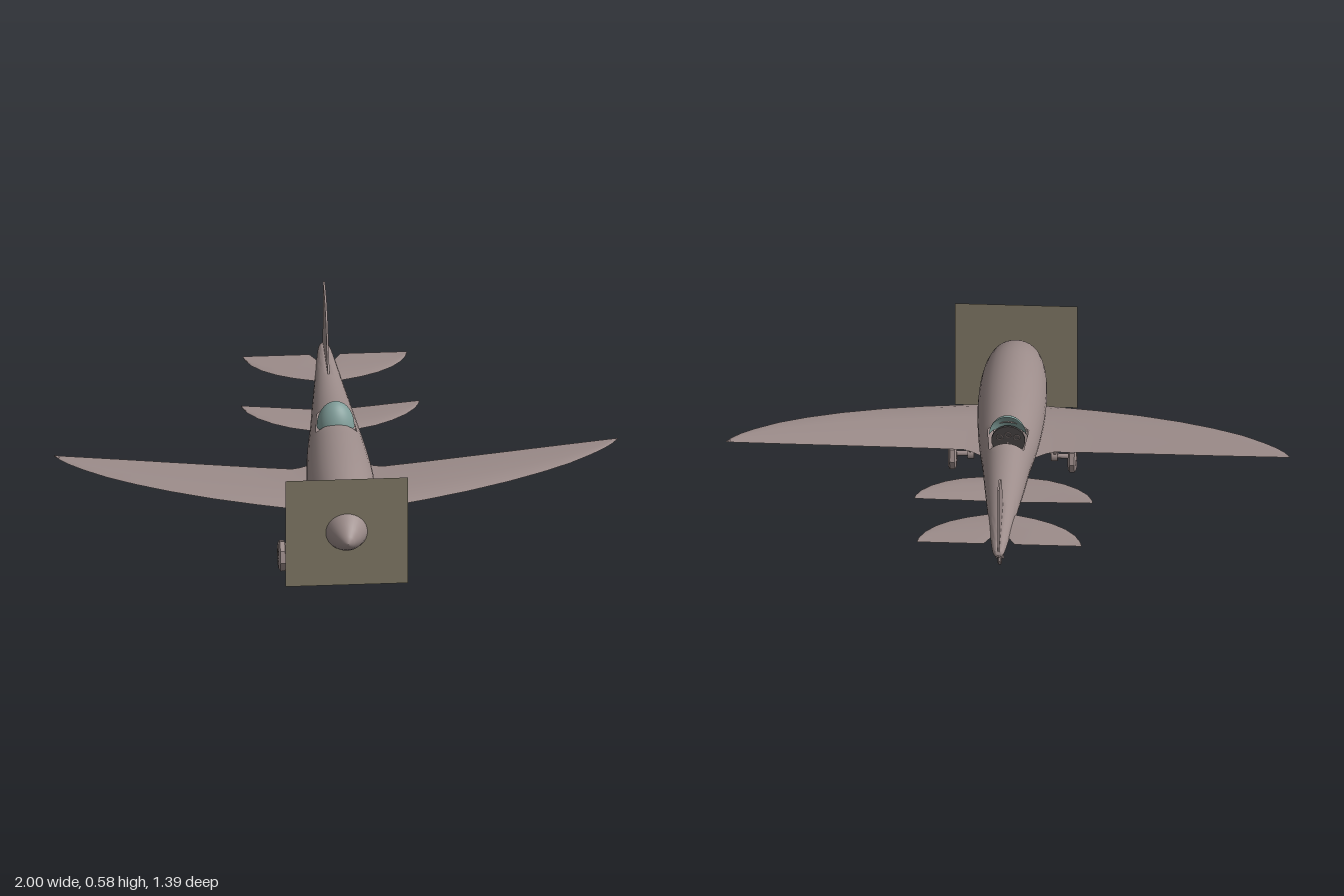
import * as THREE from 'three';
import { toCreasedNormals } from 'three/addons/utils/BufferGeometryUtils.js';

const V = (x, y, z) => new THREE.Vector3(x, y, z);
const mat = (color, extra = {}) => new THREE.MeshStandardMaterial({ color, side: THREE.DoubleSide, ...extra });
const body = mat(0x9c8c8a);
const faceted = mat(0x9c8c8a, { flatShading: true });
const dark = mat(0x4a4646);
const disc = mat(0x8c8470);
const glass = mat(0x7f9c98);

function add(parent, name, geometry, material = body) {
  const mesh = new THREE.Mesh(geometry, material);
  mesh.name = name;
  parent.add(mesh);
  return mesh;
}

// Skin a list of closed rings; skip(i, j) leaves a cell open.
function loft(rings, skip = () => false, crease = 0.8) {
  const n = rings[0].length, index = [];
  for (let i = 0; i < rings.length - 1; i++) {
    for (let j = 0; j < n; j++) {
      if (skip(i, j)) continue;
      const a = i * n + j, b = i * n + (j + 1) % n;
      index.push(a, b, a + n, b, b + n, a + n);
    }
  }
  const g = new THREE.BufferGeometry().setFromPoints(rings.flat());
  g.setIndex(index);
  return toCreasedNormals(g, crease);
}

// Airfoil surface from stations [x, zLead, zTrail]; s = 1 left, -1 right.
function airfoil(stations, s, height, thickness) {
  const shape = [[0, 0], [0.3, 0.32], [0.65, 0.5], [0.9, 0.36], [1, 0], [0.9, -0.3], [0.65, -0.42], [0.3, -0.25]];
  return loft(stations.map(([x, lead, trail]) => {
    const ring = shape.map(([u, v]) =>
      V(s * x, height(x) + v * thickness(x), trail + (lead - trail) * u));
    return s > 0 ? ring : ring.reverse();
  }));
}

function strut(parent, name, a, b, r) {
  const mesh = add(parent, name, new THREE.CylinderGeometry(r, r, a.distanceTo(b), 10));
  mesh.position.copy(a).add(b).multiplyScalar(0.5);
  mesh.quaternion.setFromUnitVectors(V(0, 1, 0), b.clone().sub(a).normalize());
}

// Tyre with a recessed hub on an axle along x.
function wheel(parent, r, w, x, y, z, name) {
  const g = new THREE.Group();
  g.name = name;
  g.position.set(x, y, z);
  const profile = [[0, -0.35], [0.4, -0.35], [0.45, -0.5], [0.8, -0.5], [1, -0.28], [1, 0.28], [0.8, 0.5], [0.45, 0.5], [0.4, 0.35], [0, 0.35]];
  const pts = profile.map(([a, b]) => new THREE.Vector2(a * r, b * w));
  add(g, 'tyre', new THREE.LatheGeometry(pts, 8).rotateZ(Math.PI / 2), faceted);
  add(g, 'hub', new THREE.CylinderGeometry(r * 0.2, r * 0.2, w * 1.1, 12).rotateZ(Math.PI / 2));
  parent.add(g);
}

function buildFuselage(plane) {
  // Sections: z, half width, top, bottom
  const sections = [
    [0.605, 0.074, 0.366, 0.226], [0.56, 0.093, 0.395, 0.2], [0.48, 0.111, 0.42, 0.176], [0.38, 0.12, 0.43, 0.162],
    [0.27, 0.121, 0.43, 0.161], [0.14, 0.114, 0.42, 0.17], [0.02, 0.103, 0.405, 0.188], [-0.11, 0.086, 0.402, 0.21],
    [-0.25, 0.071, 0.382, 0.232], [-0.4, 0.054, 0.364, 0.255], [-0.55, 0.037, 0.349, 0.279], [-0.65, 0.025, 0.34, 0.294],
    [-0.69, 0.016, 0.333, 0.303], [-0.7, 0.001, 0.319, 0.317]];
  const sides = new THREE.CatmullRomCurve3(sections.map(([z, w, t]) => V(w, t, z)), false, 'catmullrom');
  const belly = new THREE.CatmullRomCurve3(sections.map(([z, , , b]) => V(0, b, z)), false, 'catmullrom');
  const seg = 32, sub = 4, rows = (sections.length - 1) * sub, rings = [];
  for (let i = 0; i <= rows; i++) {
    const p = sides.getPoint(i / rows), b = belly.getPoint(i / rows).y;
    rings.push(Array.from({ length: seg }, (_, j) => {
      const t = j / seg * Math.PI * 2;
      return V(Math.max(p.x, 0.001) * Math.sin(t), (p.y + b) / 2 + (p.y - b) / 2 * Math.cos(t), p.z);
    }));
  }
  // Cockpit opening in the upper skin
  const open = (i, j) => i >= 6 * sub && i < 7 * sub && (j < 4 || j >= seg - 4);
  add(plane, 'fuselage', loft(rings, open));

  // Spinner and propeller disc
  const nose = [[0.074, 0], [0.062, 0.024], [0.045, 0.05], [0.024, 0.075], [0.01, 0.085], [0, 0.088]];
  const spinner = add(plane, 'spinner', new THREE.LatheGeometry(nose.map(p => new THREE.Vector2(...p)), 32).rotateX(Math.PI / 2));
  spinner.position.set(0, 0.3, 0.605);
  add(plane, 'propellerSweep', new THREE.PlaneGeometry(0.434, 0.43), disc).position.set(0, 0.3, 0.605);
}

function buildCockpit(plane) {
  const cockpit = new THREE.Group();
  cockpit.name = 'cockpit';
  plane.add(cockpit);
  add(cockpit, 'seat', new THREE.BoxGeometry(0.09, 0.015, 0.075)).position.set(0, 0.29, -0.065);
  add(cockpit, 'seatBack', new THREE.BoxGeometry(0.1, 0.085, 0.015)).position.set(0, 0.33, -0.1);
  add(cockpit, 'instrumentPanel', new THREE.CylinderGeometry(0.06, 0.06, 0.008, 24).rotateX(Math.PI / 2), dark)
    .position.set(0, 0.33, 0.02);
  for (const [x, y] of [[-0.03, 0.345], [0, 0.355], [0.03, 0.345]]) {
    add(cockpit, 'dial', new THREE.TorusGeometry(0.01, 0.002, 6, 16)).position.set(x, y, 0.015);
  }
  strut(cockpit, 'controlStick', V(0, 0.25, -0.01), V(0, 0.345, -0.02), 0.004);

  // Curved windscreen leaning back at its rear rim
  const g = new THREE.SphereGeometry(1, 24, 10, 0, Math.PI, 0, Math.PI / 2).scale(0.067, 0.092, 0.06);
  const p = g.attributes.position;
  for (let i = 0; i < p.count; i++) p.setZ(i, p.getZ(i) - p.getY(i) * 0.17);
  g.computeVertexNormals();
  add(cockpit, 'windscreen', g, glass).position.set(0, 0.374, -0.024);
}

function buildSide(plane, s) {
  const side = s > 0 ? 'left' : 'right';
  // Main wing with a flared root
  const wing = [[0.06, 0.37, 0.015], [0.1, 0.364, 0.035], [0.13, 0.359, 0.054], [0.16, 0.353, 0.065], [0.3, 0.325, 0.056],
    [0.45, 0.289, 0.044], [0.6, 0.243, 0.032], [0.72, 0.197, 0.022], [0.82, 0.15, 0.014], [0.9, 0.1, 0.008],
    [0.95, 0.062, 0.004], [0.98, 0.032, 0.002], [1, 0.002, 0]];
  add(plane, side + 'Wing', airfoil(wing, s, x => 0.245 + 0.057 * x, x => 0.036 * (1 - x) + 0.004));

  // Middle stabilizer
  const middle = [[0.03, -0.13, -0.303], [0.08, -0.15, -0.305], [0.15, -0.167, -0.309], [0.21, -0.194, -0.313],
    [0.26, -0.228, -0.316], [0.295, -0.265, -0.318], [0.312, -0.298, -0.319], [0.316, -0.317, -0.32]];
  add(plane, side + 'MiddleStabilizer', airfoil(middle, s, x => 0.28 + 0.055 * x, x => 0.02 - 0.05 * x));

  // Tailplane
  const tail = [[0.01, -0.42, -0.58], [0.035, -0.436, -0.595], [0.055, -0.443, -0.63], [0.12, -0.463, -0.63],
    [0.18, -0.49, -0.63], [0.23, -0.524, -0.63], [0.265, -0.562, -0.63], [0.285, -0.6, -0.63], [0.291, -0.625, -0.63]];
  add(plane, side + 'Tailplane', airfoil(tail, s, () => 0.32, x => 0.01 - 0.015 * x));

  // Landing gear
  const gear = new THREE.Group();
  gear.name = side + 'LandingGear';
  plane.add(gear);
  const z = 0.335, foot = V(s * 0.148, 0.06, z);
  wheel(gear, 0.057, 0.03, s * 0.212, 0.057, z, 'wheel');
  strut(gear, 'axle', foot, V(s * 0.21, 0.058, z), 0.009);
  strut(gear, 'axleCollar', V(s * 0.136, 0.06, z), V(s * 0.16, 0.06, z), 0.02);
  strut(gear, 'mainStrut', foot, V(s * 0.165, 0.25, z), 0.006);
  strut(gear, 'rearStrut', foot, V(s * 0.165, 0.25, 0.225), 0.006);
  strut(gear, 'innerStrut', foot, V(s * 0.06, 0.16, z), 0.007);
  strut(gear, 'bodySocket', V(s * 0.072, 0.14, z), V(s * 0.045, 0.175, z), 0.02);
}

export function createModel() {
  const plane = new THREE.Group();
  plane.name = 'aeroplane';
  buildFuselage(plane);
  buildCockpit(plane);
  for (const s of [1, -1]) buildSide(plane, s);

  // Upright fin, drawn as (-z, y)
  const fin = new THREE.Shape();
  fin.moveTo(0.4, 0.35);
  fin.lineTo(0.42, 0.37);
  fin.splineThru([[0.46, 0.415], [0.5, 0.49], [0.55, 0.541], [0.61, 0.573], [0.685, 0.585]].map(p => new THREE.Vector2(...p)));
  fin.lineTo(0.695, 0.32);
  const finGeo = new THREE.ExtrudeGeometry(fin, { depth: 0.007, bevelEnabled: false, curveSegments: 4 });
  add(plane, 'fin', finGeo.translate(0, 0, -0.0035).rotateY(Math.PI / 2));

  // Tail wheel
  wheel(plane, 0.024, 0.014, 0, 0.226, -0.577, 'tailWheel');
  for (const s of [1, -1]) strut(plane, 'tailFork', V(s * 0.011, 0.226, -0.577), V(s * 0.006, 0.262, -0.577), 0.004);
  const post = add(plane, 'tailPost', new THREE.CylinderGeometry(0.005, 0.012, 0.045, 10));
  post.position.set(0, 0.275, -0.577);
  return plane;
}
